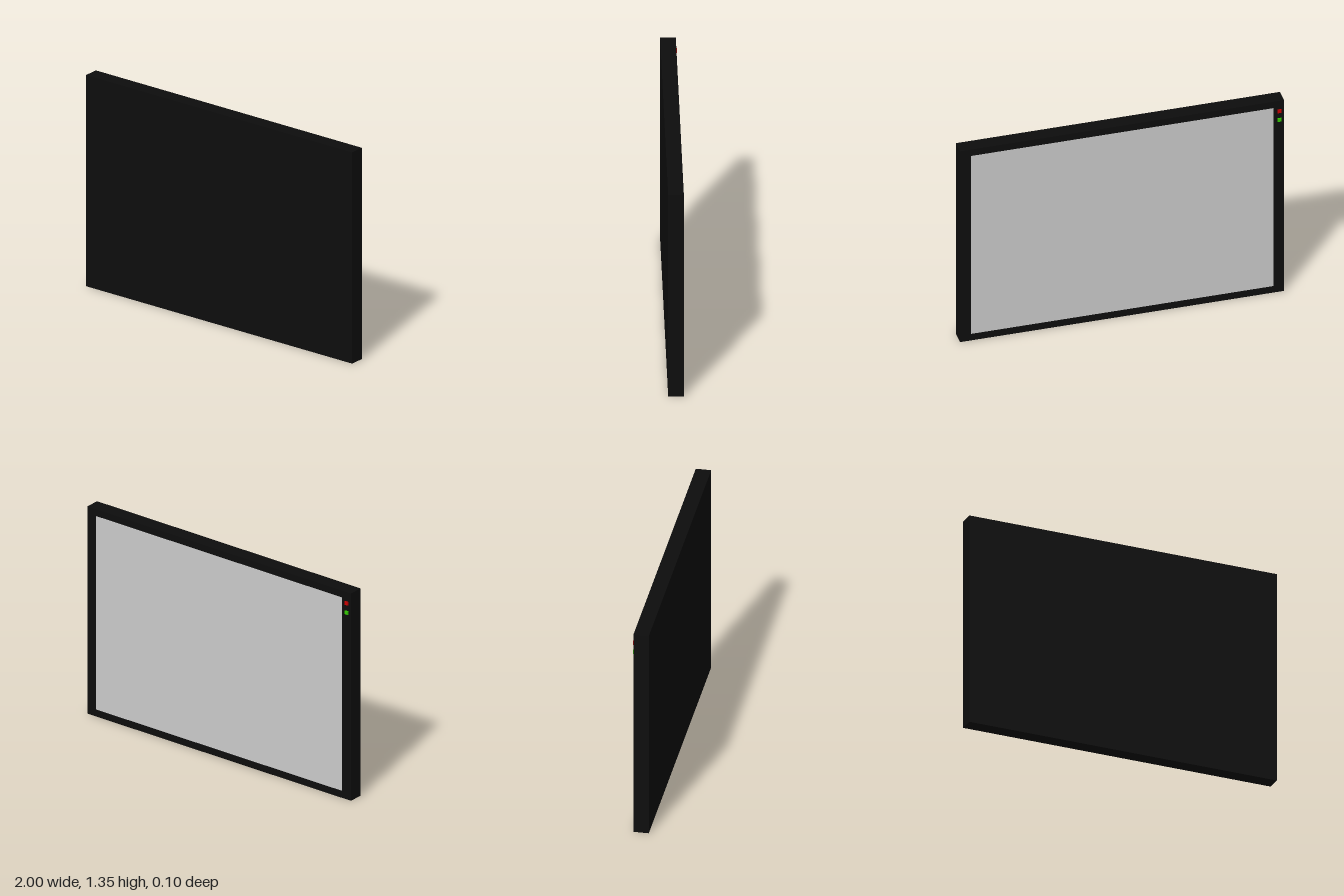
import * as THREE from 'three';

const W = 2, H = 1.35, FRONT = 0.05, BACK = -0.043;
const INSET = 0.934, RECESS = 0.004;

const material = (color) => new THREE.MeshStandardMaterial({ color });

function addBox(group, name, size, position, mat) {
  const mesh = new THREE.Mesh(new THREE.BoxGeometry(...size), mat);
  mesh.name = name;
  mesh.position.set(...position);
  group.add(mesh);
  return mesh;
}

function rectangle(Path, w, h) {
  const x = w / 2, y = h / 2;
  return new Path([[-x, -y], [x, -y], [x, y], [-x, y]].map(([a, b]) => new THREE.Vector2(a, b)));
}

export function createModel() {
  const model = new THREE.Group();
  model.name = 'displayPanel';
  const black = material(0x0d0d0d);
  const midY = H / 2, seam = BACK + RECESS;

  // Solid casing behind the screen
  addBox(model, 'casing', [W, H, FRONT - seam], [0, midY, (FRONT + seam) / 2], black);

  // Shallow raised bezel around the screen
  const ring = rectangle(THREE.Shape, W, H);
  ring.holes.push(rectangle(THREE.Path, W * INSET, H * INSET));
  const bezel = new THREE.Mesh(
    new THREE.ExtrudeGeometry(ring, { depth: RECESS, bevelEnabled: false }), black);
  bezel.name = 'bezel';
  bezel.position.set(0, midY, BACK);
  model.add(bezel);

  // Screen set just below the bezel, facing -z
  addBox(model, 'screen', [W * INSET, H * INSET, 0.003], [0, midY, seam - 0.0005], material(0xcccccc));

  // Two small indicator buttons in the bezel's upper corner
  const buttons = [['redButton', 1.279, 0xcc0000], ['greenButton', 1.218, 0x33cc00]];
  for (const [name, y, color] of buttons) {
    addBox(model, name, [0.023, 0.023, 0.012], [-0.97, y, -0.044], material(color));
  }
  return model;
}
